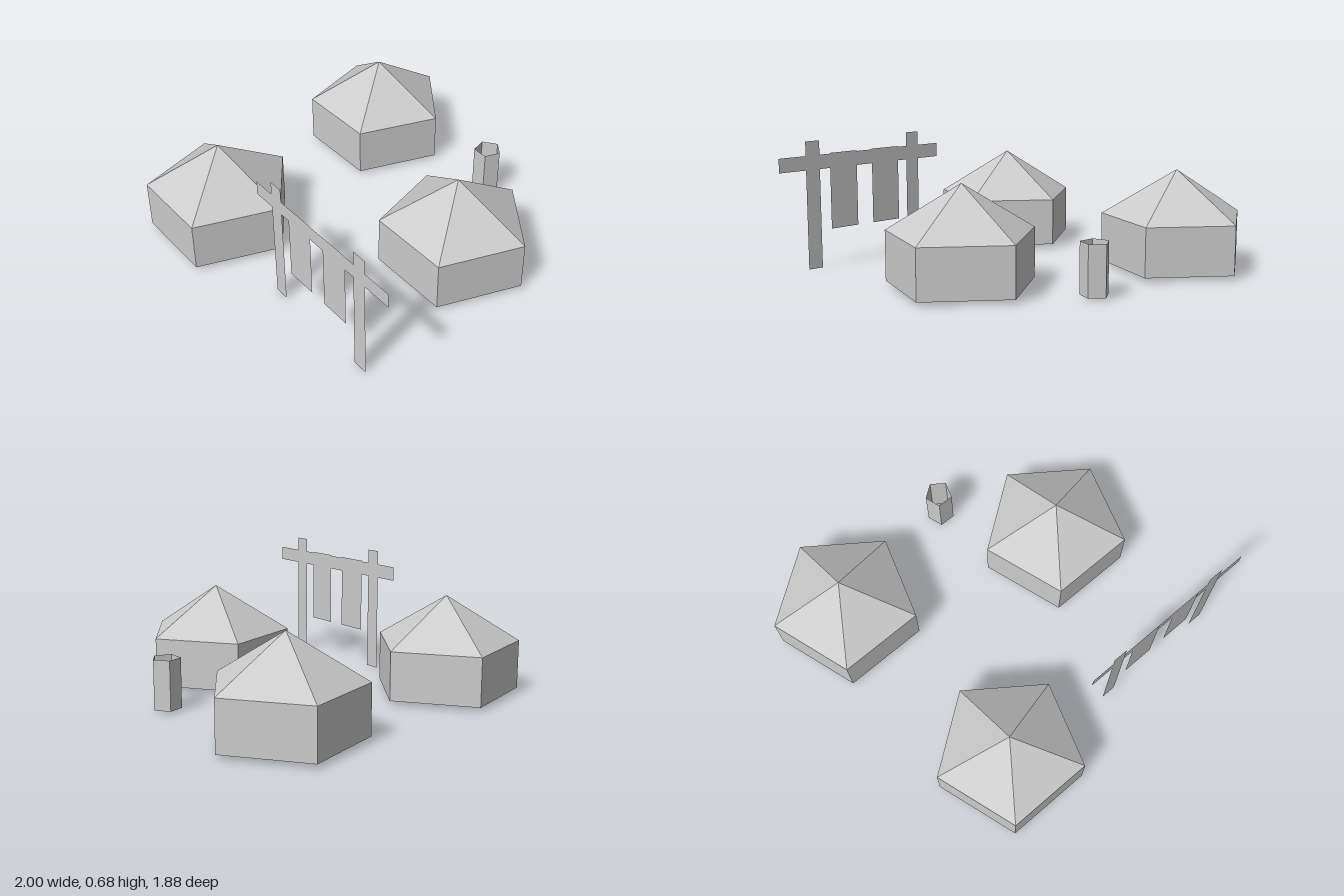
import * as THREE from 'three';

const SIDES = 5;

export function createModel() {
  const model = new THREE.Group();
  const mat = new THREE.MeshStandardMaterial({ color: 0xcccccc, flatShading: true, side: THREE.DoubleSide });

  const add = (parent, name, geometry, x, y, z) => {
    const mesh = new THREE.Mesh(geometry, mat);
    mesh.name = name;
    mesh.position.set(x, y, z);
    parent.add(mesh);
    return mesh;
  };

  // Five-sided open shell with one corner pointing to the back
  const shell = (rTop, rBottom, height) =>
    new THREE.CylinderGeometry(rTop, rBottom, height, SIDES, 1, true, Math.PI);

  // Tents: hollow walls with a pointed roof, no floor
  const radius = 0.391, base = 0.02, eave = 0.277, peak = 0.522;
  const wallGeo = shell(radius, radius, eave - base);
  const roofGeo = new THREE.ConeGeometry(radius, peak - eave, SIDES, 1, true, Math.PI);
  const tents = [[-0.485, 0.622], [-0.628, -0.549], [0.5, -0.154]];
  for (const [x, z] of tents) {
    const tent = new THREE.Group();
    tent.name = 'tent';
    tent.position.set(x, 0, z);
    add(tent, 'tentWalls', wallGeo, 0, (base + eave) / 2, 0);
    add(tent, 'tentRoof', roofGeo, 0, (eave + peak) / 2, 0);
    model.add(tent);
  }

  // Small open barrel behind the tents
  add(model, 'barrel', shell(0.074, 0.074, 0.26), 0.141, 0.14, -0.705);

  // Gate of flat sheets: two posts, a crossbeam and two hanging banners
  const gate = new THREE.Group();
  gate.name = 'gate';
  gate.position.z = 0.69;
  model.add(gate);
  const sheet = (name, x0, x1, y0, y1, z) =>
    add(gate, name, new THREE.PlaneGeometry(x1 - x0, y1 - y0), (x0 + x1) / 2, (y0 + y1) / 2, z);
  sheet('leftPost', 0.758, 0.841, 0, 0.675, 0.002);
  sheet('rightPost', 0.12, 0.2, 0, 0.675, 0.002);
  sheet('crossbeam', -0.01, 1, 0.525, 0.6, 0);
  sheet('leftBanner', 0.528, 0.695, 0.2, 0.604, 0.002);
  sheet('rightBanner', 0.257, 0.43, 0.2, 0.604, 0.002);

  return model;
}
